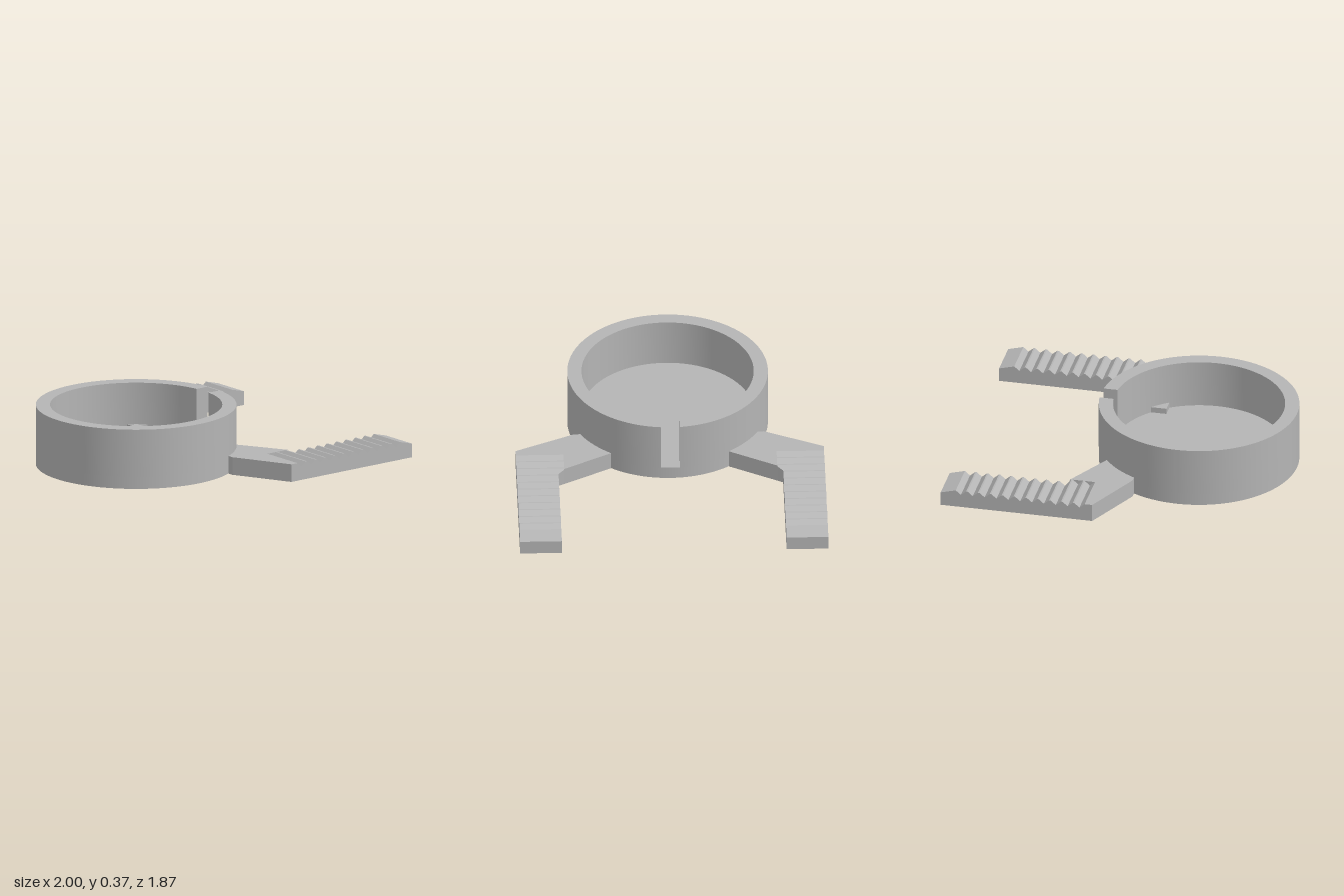
import * as THREE from 'three';
import { toCreasedNormals } from 'three/addons/utils/BufferGeometryUtils.js';

const CUP_X = -0.393, R_OUT = 0.607, R_IN = 0.521, CUP_H = 0.37, FLOOR = 0.075;
const SLOT = 0.058;                       // half width of the slot in the wall
const ARM_H = 0.11, ARM_IN = 0.68, ARM_OUT = 0.933, CUT_IN = 0.645;
const TEETH_X = 0.107, PITCH = 0.0735, HALF = 0.032, DEPTH = 0.027, GROOVES = 11;

// Extrude a plan outline (x, -z) upwards from y0 to y1
function extrudeUp(shape, y0, y1, curveSegments = 12) {
  const geo = new THREE.ExtrudeGeometry(shape, { depth: y1 - y0, bevelEnabled: false, curveSegments });
  return geo.rotateX(-Math.PI / 2).translate(0, y0, 0);
}

// Side outline with V grooves along the top, from (x, y) points
function toothedProfile(grooves, end) {
  const pts = [[TEETH_X, 0], [TEETH_X, ARM_H]];
  for (let i = 0; i < grooves; i++) {
    const x = TEETH_X + i * PITCH;
    if (i > 0) pts.push([x, ARM_H]);
    pts.push([x + HALF, ARM_H - DEPTH], [x + 2 * HALF, ARM_H]);
  }
  pts.push(...end);
  return new THREE.Shape(pts.map(([x, y]) => new THREE.Vector2(x, y)));
}

function extrudeSide(shape, z0, z1) {
  return new THREE.ExtrudeGeometry(shape, { depth: z1 - z0, bevelEnabled: false }).translate(0, 0, z0);
}

export function createModel() {
  const model = new THREE.Group();
  const grey = new THREE.MeshStandardMaterial({ color: 0xb4b4b4 });
  grey.name = 'light grey';

  const add = (parent, name, geometry) => {
    const mesh = new THREE.Mesh(geometry, grey);
    mesh.name = name;
    parent.add(mesh);
    return mesh;
  };

  // Cup: solid floor and a round wall with a slot facing +x
  const cup = new THREE.Group();
  cup.name = 'cup';
  cup.position.x = CUP_X;
  model.add(cup);
  add(cup, 'cupFloor', new THREE.CylinderGeometry(R_OUT, R_OUT, FLOOR, 96).translate(0, FLOOR / 2, 0));
  const aOut = Math.asin(SLOT / R_OUT), aIn = Math.asin(SLOT / R_IN);
  const wall = new THREE.Shape();
  wall.absarc(0, 0, R_OUT, aOut, Math.PI * 2 - aOut, false);
  wall.absarc(0, 0, R_IN, Math.PI * 2 - aIn, aIn, true);
  wall.closePath();
  add(cup, 'slottedWall', toCreasedNormals(extrudeUp(wall, FLOOR, CUP_H, 96), 0.5));

  // Angled bracket that joins the arm and pokes slightly into the cup
  const edgeX = 0.261, edgeEnd = 0.281;
  const bracket = new THREE.Shape([
    [-0.11, 0.357], [0.1, 0.357], [edgeX, CUT_IN], [TEETH_X, CUT_IN],
    [TEETH_X, ARM_OUT], [0.06, ARM_OUT], [-0.11, 0.575],
  ].map(([x, z]) => new THREE.Vector2(x, -z)));
  const bracketGeo = extrudeUp(bracket, 0, ARM_H);

  // Straight toothed bar with a sloping tip
  const barGeo = extrudeSide(toothedProfile(GROOVES, [[1, 0.085], [1, 0]]), ARM_IN, ARM_OUT);

  // Corner where the grooves run on into the bracket, trimmed to its slanted edge
  const slopeY = (x) => ARM_H - (x - TEETH_X - 2 * PITCH) / HALF * DEPTH;
  const cornerGeo = extrudeSide(toothedProfile(2, [
    [TEETH_X + 2 * PITCH, ARM_H], [edgeEnd, slopeY(edgeEnd)], [edgeEnd, 0],
  ]), CUT_IN, ARM_IN);
  const p = cornerGeo.attributes.position;
  for (let i = 0; i < p.count; i++) {
    if (p.getX(i) > 0.27 && p.getZ(i) < (CUT_IN + ARM_IN) / 2) {
      p.setX(i, edgeX);
      if (p.getY(i) > 0.01) p.setY(i, slopeY(edgeX));
    }
  }
  cornerGeo.computeVertexNormals();

  // Mirrored pair of arms
  for (const side of [1, -1]) {
    const arm = new THREE.Group();
    arm.name = side > 0 ? 'frontArm' : 'backArm';
    arm.scale.z = side;
    add(arm, 'bracket', bracketGeo);
    add(arm, 'toothedBar', barGeo);
    add(arm, 'toothedCorner', cornerGeo);
    model.add(arm);
  }
  return model;
}
